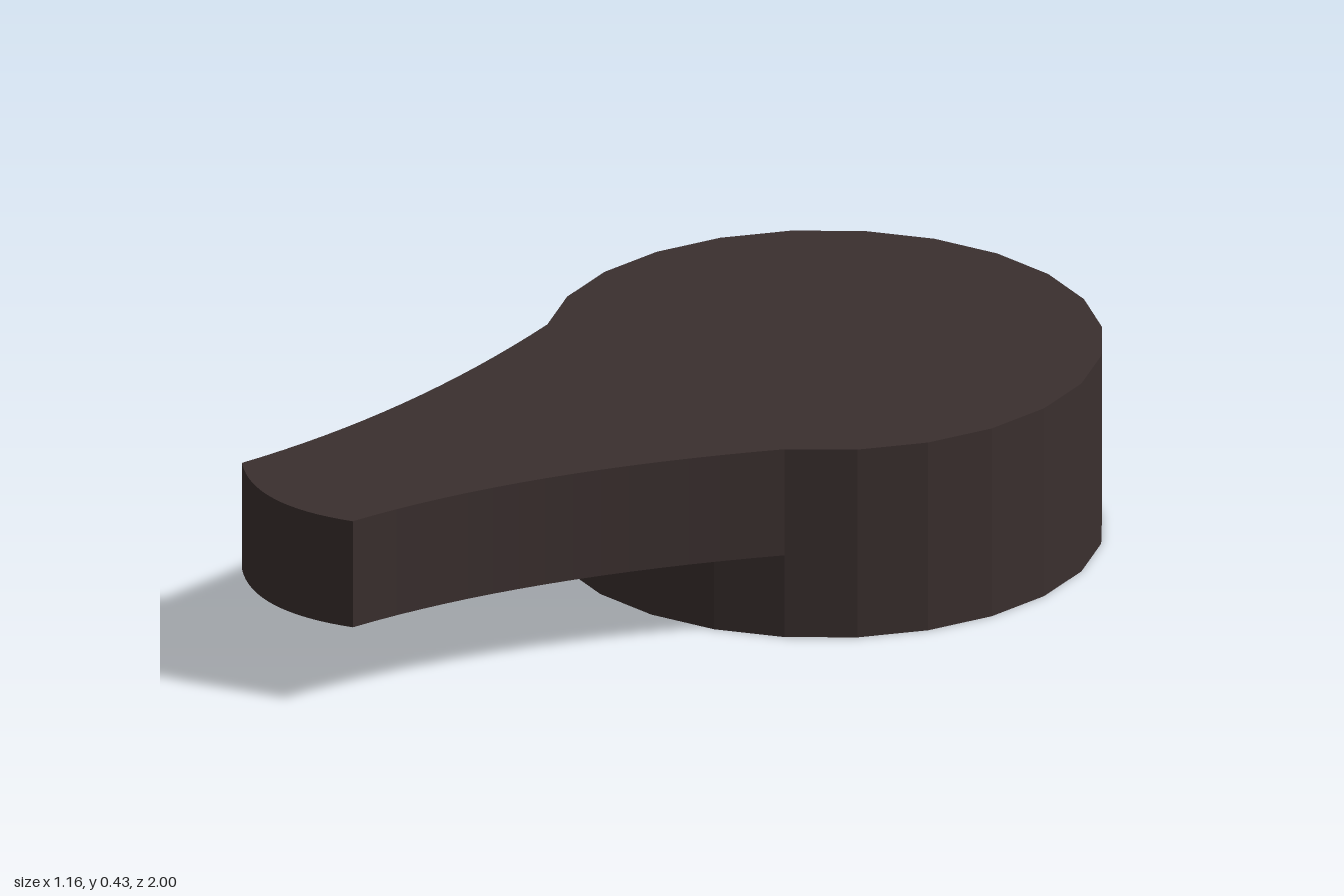
import * as THREE from 'three';

const SIDES = 24, RADIUS = 0.582, CENTER_Z = -0.418;
const TOP = 0.425, LEVER_BOTTOM = 0.185;

export function createModel() {
  const group = new THREE.Group();
  group.name = 'leverKnob';
  const material = new THREE.MeshStandardMaterial({ color: 0x3a2f2e, flatShading: true });

  // Round hub standing on the ground
  const hubGeometry = new THREE.CylinderGeometry(RADIUS, RADIUS, TOP, SIDES);
  hubGeometry.translate(0, TOP / 2, CENTER_Z);
  const hub = new THREE.Mesh(hubGeometry, material);
  hub.name = 'hub';
  group.add(hub);

  // Rim corner of the hub, counted from its front
  const rim = (i) => {
    const a = (i * 2 * Math.PI) / SIDES;
    return [RADIUS * Math.sin(a), CENTER_Z + RADIUS * Math.cos(a)];
  };

  // Lever outline in x and z: flared sides, rounded tip, back edge along the hub rim
  const shape = new THREE.Shape();
  shape.moveTo(...rim(3));
  shape.quadraticCurveTo(0.178, 0.5, 0.178, 0.94);
  shape.quadraticCurveTo(-0.015, 1.06, -0.207, 0.94);
  shape.quadraticCurveTo(-0.207, 0.5, ...rim(-3));
  for (let i = -2; i < 3; i++) shape.lineTo(...rim(i));
  shape.closePath();

  const leverGeometry = new THREE.ExtrudeGeometry(shape, {
    depth: TOP - LEVER_BOTTOM, bevelEnabled: false, curveSegments: 16,
  });
  leverGeometry.rotateX(Math.PI / 2);
  leverGeometry.translate(0, TOP, 0);
  const lever = new THREE.Mesh(leverGeometry, material);
  lever.name = 'lever';
  group.add(lever);

  return group;
}
